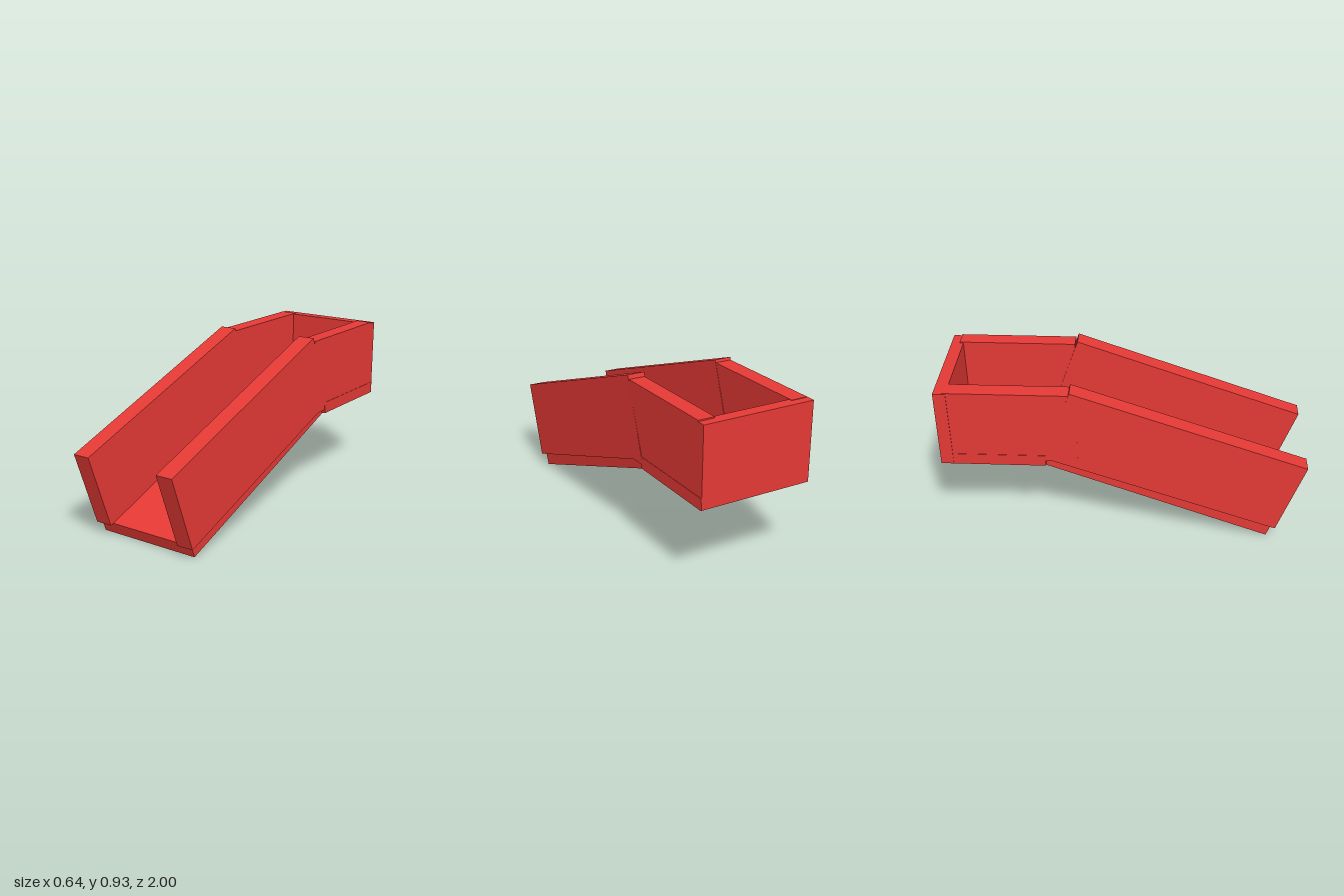
import * as THREE from 'three';

export function createModel() {
  const group = new THREE.Group();
  const material = new THREE.MeshStandardMaterial({ color: 0xe53935, flatShading: true });

  // Box given by its x, y and z ranges
  function block(name, [x0, x1], [y0, y1], [z0, z1]) {
    const mesh = new THREE.Mesh(new THREE.BoxGeometry(x1 - x0, y1 - y0, z1 - z0), material);
    mesh.name = name;
    mesh.position.set((x0 + x1) / 2, (y0 + y1) / 2, (z0 + z1) / 2);
    group.add(mesh);
    return mesh;
  }

  // Sloping box: its upper front edge sits at (y, z) and it climbs towards the back
  function slope(name, x0, x1, y, z, height, length, angle) {
    const pivot = new THREE.Group();
    const mesh = new THREE.Mesh(new THREE.BoxGeometry(x1 - x0, height, length), material);
    mesh.position.set(0, -height / 2, -length / 2);
    pivot.name = name;
    pivot.position.set((x0 + x1) / 2, y, z);
    pivot.rotation.x = THREE.MathUtils.degToRad(angle);
    pivot.add(mesh);
    group.add(pivot);
    return pivot;
  }

  // Ramp: floor and two side walls, the walls leaning very slightly
  slope('rampFloor', -0.3, 0.3, 0.066, 0.832, 0.07, 1.373, 20.2);
  slope('leftRampWall', 0.221, 0.319, 0.481, 1, 0.446, 1.357, 19.4).rotation.z = 0.008;
  slope('rightRampWall', -0.319, -0.221, 0.479, 0.999, 0.442, 1.355, 19.1).rotation.z = 0.006;

  // Level platform: floor and side walls
  block('platformFloor', [-0.32, 0.322], [0.46, 0.525], [-0.99, -0.42]);
  block('leftPlatformWall', [0.228, 0.32], [0.48, 0.911], [-0.95, -0.295]);
  block('rightPlatformWall', [-0.318, -0.222], [0.49, 0.907], [-0.95, -0.245]);

  // Back wall, tilted a touch outwards at the top
  block('backWall', [-0.322, 0.32], [0.463, 0.904], [-0.995, -0.927]).rotation.x = -0.012;

  return group;
}
